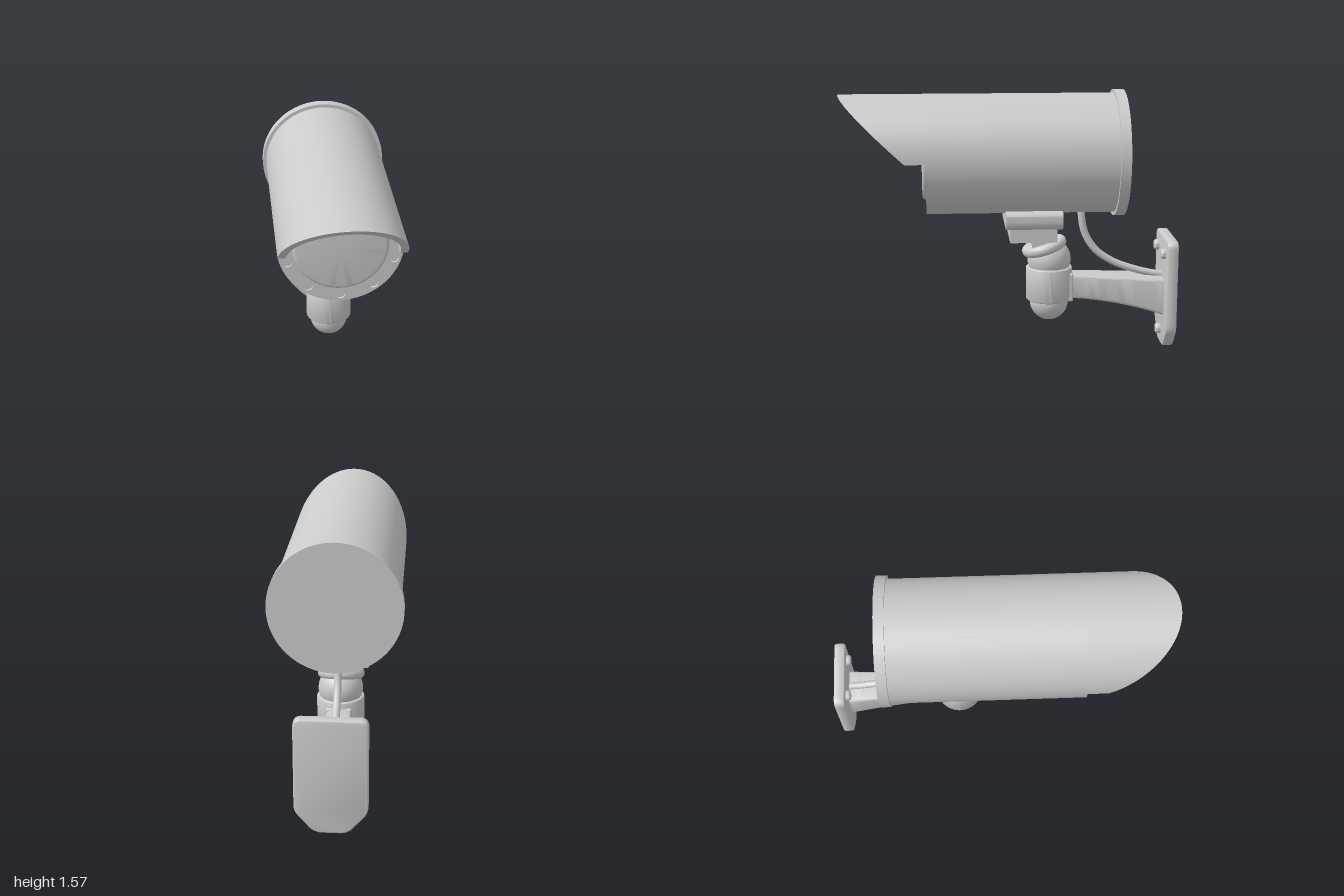
import * as THREE from 'three';
import { toCreasedNormals } from 'three/addons/utils/BufferGeometryUtils.js';
import { RoundedBoxGeometry } from 'three/addons/geometries/RoundedBoxGeometry.js';

const AXIS_Y = 1.195; // height of the housing axis
const R = 0.355; // housing radius
const POST_Z = -0.245; // axis of the swivel joint

export function createModel() {
  const model = new THREE.Group();
  const material = new THREE.MeshStandardMaterial({ color: 0xcccccc });

  const add = (name, geometry, x = 0, y = 0, z = 0) => {
    const mesh = new THREE.Mesh(geometry, material);
    mesh.name = name;
    mesh.position.set(x, y, z);
    model.add(mesh);
    return mesh;
  };
  // Solid of revolution from [radius, height] points, creased at hard edges
  const lathe = (points, segments = 64) =>
    toCreasedNormals(new THREE.LatheGeometry(points.map(([r, h]) => new THREE.Vector2(r, h)), segments), 0.6);
  // Disc with rounded rims, centred on its height
  const roundedDisc = (radius, height, bevel) => {
    const points = [[0, -height / 2]];
    for (const side of [-1, 1]) {
      for (let i = 0; i <= 5; i++) {
        const a = (side < 0 ? i - 5 : i) / 5 * Math.PI / 2;
        points.push([radius - bevel + bevel * Math.cos(a), side * (height / 2 - bevel) + bevel * Math.sin(a)]);
      }
    }
    points.push([0, height / 2]);
    return lathe(points);
  };
  // Outline with corners rounded by each corner's [x, y, radius]
  const roundedShape = (corners) => {
    const shape = new THREE.Shape();
    const n = corners.length;
    corners.forEach(([x, y, r], i) => {
      const p = new THREE.Vector2(x, y);
      const toward = ([qx, qy]) => new THREE.Vector2(qx, qy).sub(p).setLength(r).add(p);
      const a = toward(corners[(i + n - 1) % n]);
      const b = toward(corners[(i + 1) % n]);
      if (i) shape.lineTo(a.x, a.y);
      else shape.moveTo(a.x, a.y);
      shape.quadraticCurveTo(x, y, b.x, b.y);
    });
    shape.closePath();
    return shape;
  };

  // Housing and rear cap
  const FACE_Z = 0.49, FACE_DEPTH = 0.012;
  const bodyLength = FACE_Z - FACE_DEPTH + 0.64;
  add('housing', new THREE.CylinderGeometry(R, R, bodyLength, 96).rotateX(Math.PI / 2), 0, AXIS_Y, -0.64 + bodyLength / 2);
  add('rearCap', new THREE.CylinderGeometry(0.375, 0.375, 0.06, 96).rotateX(Math.PI / 2), 0, AXIS_Y, -0.65);

  // Front face with shallow round sockets below the visor
  const face = new THREE.Shape().absarc(0, 0, R, 0, Math.PI * 2);
  for (let i = -2; i <= 2; i++) {
    const a = -Math.PI / 2 + i * Math.PI / 5;
    face.holes.push(new THREE.Path().absarc(0.314 * Math.cos(a), 0.314 * Math.sin(a), 0.028, 0, Math.PI * 2));
  }
  const faceGeometry = new THREE.ExtrudeGeometry(face, { depth: FACE_DEPTH, bevelEnabled: false, curveSegments: 48 });
  add('frontFace', toCreasedNormals(faceGeometry, 0.6), 0, AXIS_Y, FACE_Z - FACE_DEPTH);

  // Lens cover
  add('lens', roundedDisc(0.27, 0.06, 0.022).rotateX(Math.PI / 2), 0, AXIS_Y, 0.483);

  // Visor: half ring whose front end is cut on a slant
  const arch = new THREE.Shape().absarc(0, 0, R, 0, Math.PI);
  arch.absarc(0, 0, 0.312, Math.PI, 0, true);
  arch.closePath();
  const visor = new THREE.ExtrudeGeometry(arch, { depth: 1, bevelEnabled: false, curveSegments: 48 });
  const vp = visor.attributes.position;
  for (let i = 0; i < vp.count; i++) {
    const front = 0.61 + 0.39 * vp.getY(i) / R;
    vp.setZ(i, vp.getZ(i) > 0.5 ? front : FACE_Z - 0.005);
  }
  add('visor', toCreasedNormals(visor, 0.6), 0, AXIS_Y, 0);

  // Saddle under the housing
  const saddle = roundedShape([[-0.23, 0.77, 0.06], [0.23, 0.77, 0.06], [0.23, 0.875, 0.025], [-0.23, 0.875, 0.025]]);
  const saddleGeometry = new THREE.ExtrudeGeometry(saddle, { depth: 0.335, bevelEnabled: false });
  add('saddle', toCreasedNormals(saddleGeometry, 0.6), 0, 0, -0.308);
  add('saddleBase', new THREE.BoxGeometry(0.33, 0.1, 0.28), 0, 0.735, -0.14);

  // Tilted neck and collar on the ball joint
  const neck = add('neck', new THREE.BoxGeometry(0.18, 0.1, 0.15), 0, 0.66, -0.208);
  const collar = add('collar', roundedDisc(0.138, 0.062, 0.028), 0, 0.625, -0.215);
  neck.rotation.x = collar.rotation.x = 0.3;
  add('jointBall', new THREE.SphereGeometry(0.131, 48, 32), 0, 0.545, POST_Z);
  add('jointSleeve', roundedDisc(0.14, 0.208, 0.012), 0, 0.398, POST_Z);
  add('lowerBall', new THREE.SphereGeometry(0.116, 48, 32), 0, 0.28, POST_Z);

  // Arm: rounded rectangular sections that widen and deepen to the wall
  const RINGS = 16, CORNER = 4, positions = [], index = [];
  const ringSize = 4 * (CORNER + 1);
  for (let i = 0; i <= RINGS; i++) {
    const t = i / RINGS;
    const w = 0.07 + 0.035 * t, r = 0.02;
    const top = 0.457 - 0.027 * t;
    const bottom = 0.31 - 0.025 * t - 0.085 * t * t;
    const h = (top - bottom) / 2;
    for (let q = 0; q < 4; q++) {
      for (let k = 0; k <= CORNER; k++) {
        const a = (q + k / CORNER) * Math.PI / 2;
        const sx = q === 0 || q === 3 ? 1 : -1;
        const sy = q < 2 ? 1 : -1;
        positions.push(sx * (w - r) + r * Math.cos(a), (top + bottom) / 2 + sy * (h - r) + r * Math.sin(a), -0.36 - 0.585 * t);
      }
    }
  }
  for (let i = 0; i < RINGS; i++) {
    for (let j = 0; j < ringSize; j++) {
      const a = i * ringSize + j, b = i * ringSize + (j + 1) % ringSize;
      index.push(a, a + ringSize, b, b, a + ringSize, b + ringSize);
    }
  }
  const armGeometry = new THREE.BufferGeometry();
  armGeometry.setAttribute('position', new THREE.Float32BufferAttribute(positions, 3));
  armGeometry.setIndex(index);
  add('arm', toCreasedNormals(armGeometry, 0.6));
  add('armSocket', new RoundedBoxGeometry(0.15, 0.175, 0.09, 3, 0.012), 0, 0.378, -0.343);

  // Wall plate with angled lower corners
  const B = 0.012;
  const plate = roundedShape([
    [-0.1 + B, B, 0.04], [0.1 - B, B, 0.04], [0.205 - B, 0.135, 0.03],
    [0.205 - B, 0.685 - B, 0.035], [-0.205 + B, 0.685 - B, 0.035], [-0.205 + B, 0.135, 0.03],
  ]);
  const plateGeometry = new THREE.ExtrudeGeometry(plate, { depth: 0.065 - 2 * B, bevelThickness: B, bevelSize: B, bevelSegments: 4 });
  add('wallPlate', toCreasedNormals(plateGeometry, 0.6), 0, 0, -1 + B);

  // Bolts
  for (const [x, y] of [[-0.115, 0.595], [0.115, 0.595], [0, 0.09]]) {
    add('bolt', roundedDisc(0.032, 0.05, 0.015).rotateX(Math.PI / 2), x, y, -0.93);
  }

  // Cable from the housing to the wall plate
  const path = new THREE.CatmullRomCurve3([
    [0.88, -0.438], [0.8, -0.44], [0.7, -0.462], [0.6, -0.525], [0.525, -0.63], [0.475, -0.76], [0.445, -0.88], [0.437, -0.95],
  ].map(([y, z]) => new THREE.Vector3(0, y, z)));
  add('cable', new THREE.TubeGeometry(path, 48, 0.022, 16));

  return model;
}
